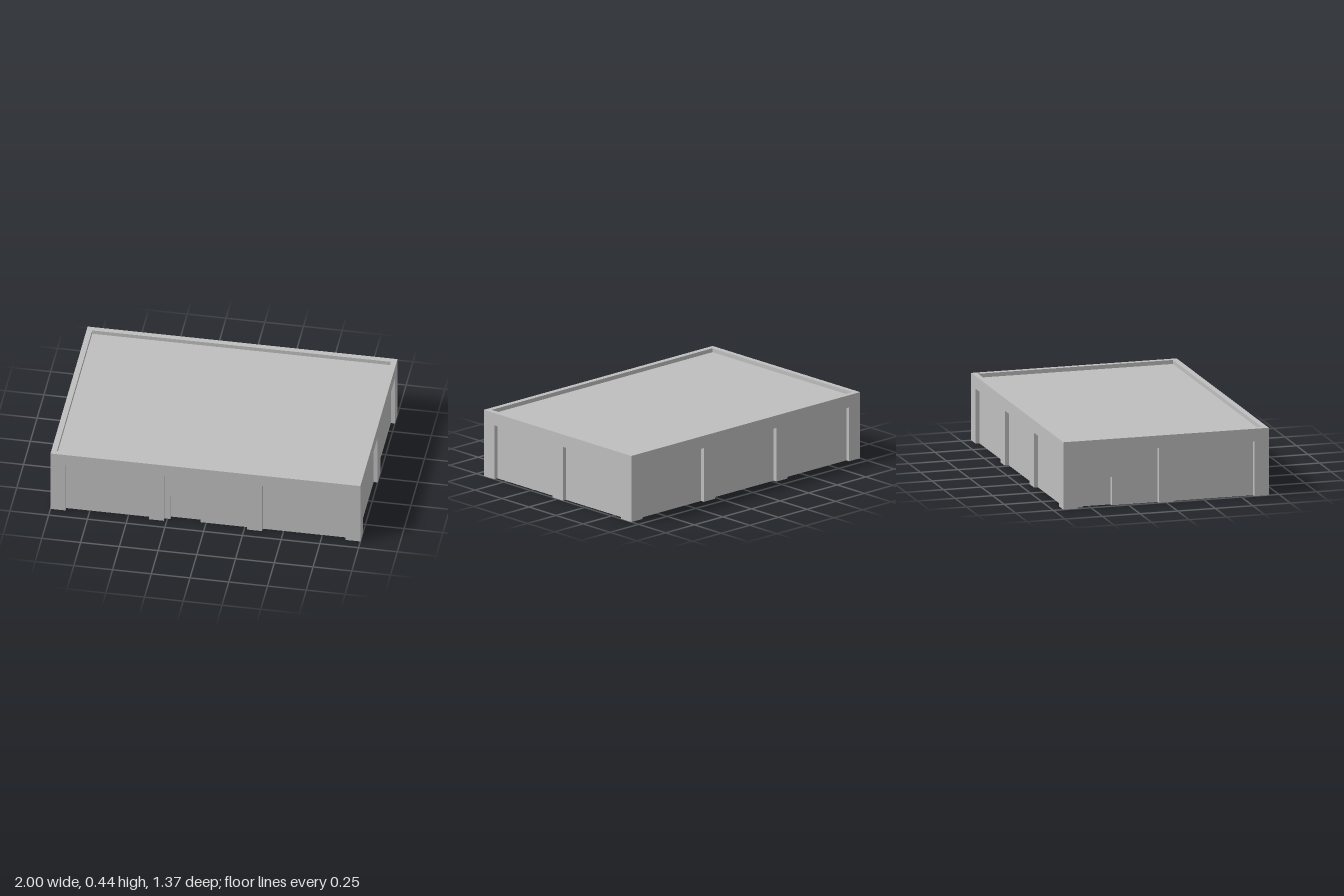
import * as THREE from 'three';

const W = 2, D = 1.366, H = 0.44;               // overall size
const PANEL_W = 0.538, PANEL_H = 0.358, GAP = 0.0967;
const DOOR_W = 0.195, DOOR_H = 0.186, DOOR_X = -0.133; // door offset from its panel centre
const INSET = 0.026;                            // depth of panel and door recesses
const RIM = 0.036, RIM_DEPTH = 0.026;           // roof edge width and drop

export function createModel() {
  const concrete = new THREE.MeshStandardMaterial({ color: 0xbfbfbf, side: THREE.DoubleSide });
  concrete.name = 'concrete grey';

  function add(parent, name, geometry) {
    const mesh = new THREE.Mesh(geometry, concrete);
    mesh.name = name;
    parent.add(mesh);
    return mesh;
  }

  // Upright sheet standing on the ground with openings cut up from its bottom edge
  function sheet(x0, x1, height, openings) {
    const s = new THREE.Shape();
    s.moveTo(x0, 0);
    for (const o of openings) {
      s.lineTo(o.x - o.w / 2, 0);
      s.lineTo(o.x - o.w / 2, o.h);
      s.lineTo(o.x + o.w / 2, o.h);
      s.lineTo(o.x + o.w / 2, 0);
    }
    s.lineTo(x1, 0);
    s.lineTo(x1, height);
    s.lineTo(x0, height);
    return new THREE.ShapeGeometry(s);
  }

  // Two jambs and a lintel joining an opening to the sheet set behind it
  function reveals(parent, name, o, z) {
    const zc = z - INSET / 2;
    for (const side of [-1, 1]) {
      add(parent, name + 'Jamb', new THREE.PlaneGeometry(INSET, o.h)
        .rotateY(-side * Math.PI / 2).translate(o.x + side * o.w / 2, o.h / 2, zc));
    }
    add(parent, name + 'Lintel', new THREE.PlaneGeometry(o.w, INSET)
      .rotateX(Math.PI / 2).translate(o.x, o.h, zc));
  }

  // Wall with evenly spaced recessed panels; one panel may hold a recessed door
  function wall(name, length, distance, count, turn, doorPanel = -1) {
    const g = new THREE.Group();
    g.name = name;
    const panels = [];
    for (let i = 0; i < count; i++) {
      panels.push({ x: (i - (count - 1) / 2) * (PANEL_W + GAP), w: PANEL_W, h: PANEL_H });
    }
    add(g, 'pillars', sheet(-length / 2, length / 2, H, panels)).position.z = distance;
    panels.forEach((p, i) => {
      const doors = i === doorPanel ? [{ x: p.x + DOOR_X, w: DOOR_W, h: DOOR_H }] : [];
      const z = distance - INSET;
      reveals(g, 'panel', p, distance);
      add(g, 'panel', sheet(p.x - p.w / 2, p.x + p.w / 2, p.h, doors)).position.z = z;
      for (const d of doors) {
        reveals(g, 'door', d, z);
        add(g, 'door', sheet(d.x - d.w / 2, d.x + d.w / 2, d.h, [])).position.z = z - INSET;
      }
    });
    g.rotation.y = turn;
    return g;
  }

  const model = new THREE.Group();
  model.name = 'building';
  model.add(
    wall('frontWall', W, D / 2, 3, 0, 1),
    wall('leftWall', D, W / 2, 2, Math.PI / 2),
    wall('backWall', W, D / 2, 3, Math.PI),
    wall('rightWall', D, W / 2, 2, -Math.PI / 2, 0)
  );

  // Flat rim around the roof
  const iw = W - 2 * RIM, id = D - 2 * RIM;
  const rect = (path, w, d) => path.setFromPoints([
    new THREE.Vector2(-w / 2, -d / 2), new THREE.Vector2(w / 2, -d / 2),
    new THREE.Vector2(w / 2, d / 2), new THREE.Vector2(-w / 2, d / 2)
  ]);
  const rim = rect(new THREE.Shape(), W, D);
  rim.holes.push(rect(new THREE.Path(), iw, id));
  add(model, 'roofRim', new THREE.ShapeGeometry(rim).rotateX(-Math.PI / 2).translate(0, H, 0));

  // Inner faces of the rim, then the sunken roof
  for (let i = 0; i < 4; i++) {
    const [len, dist] = i % 2 ? [id, iw / 2] : [iw, id / 2];
    add(model, 'rimInside', new THREE.PlaneGeometry(len, RIM_DEPTH)
      .translate(0, H - RIM_DEPTH / 2, -dist).rotateY(i * Math.PI / 2));
  }
  add(model, 'roof', new THREE.PlaneGeometry(iw, id).rotateX(-Math.PI / 2).translate(0, H - RIM_DEPTH, 0));

  return model;
}
